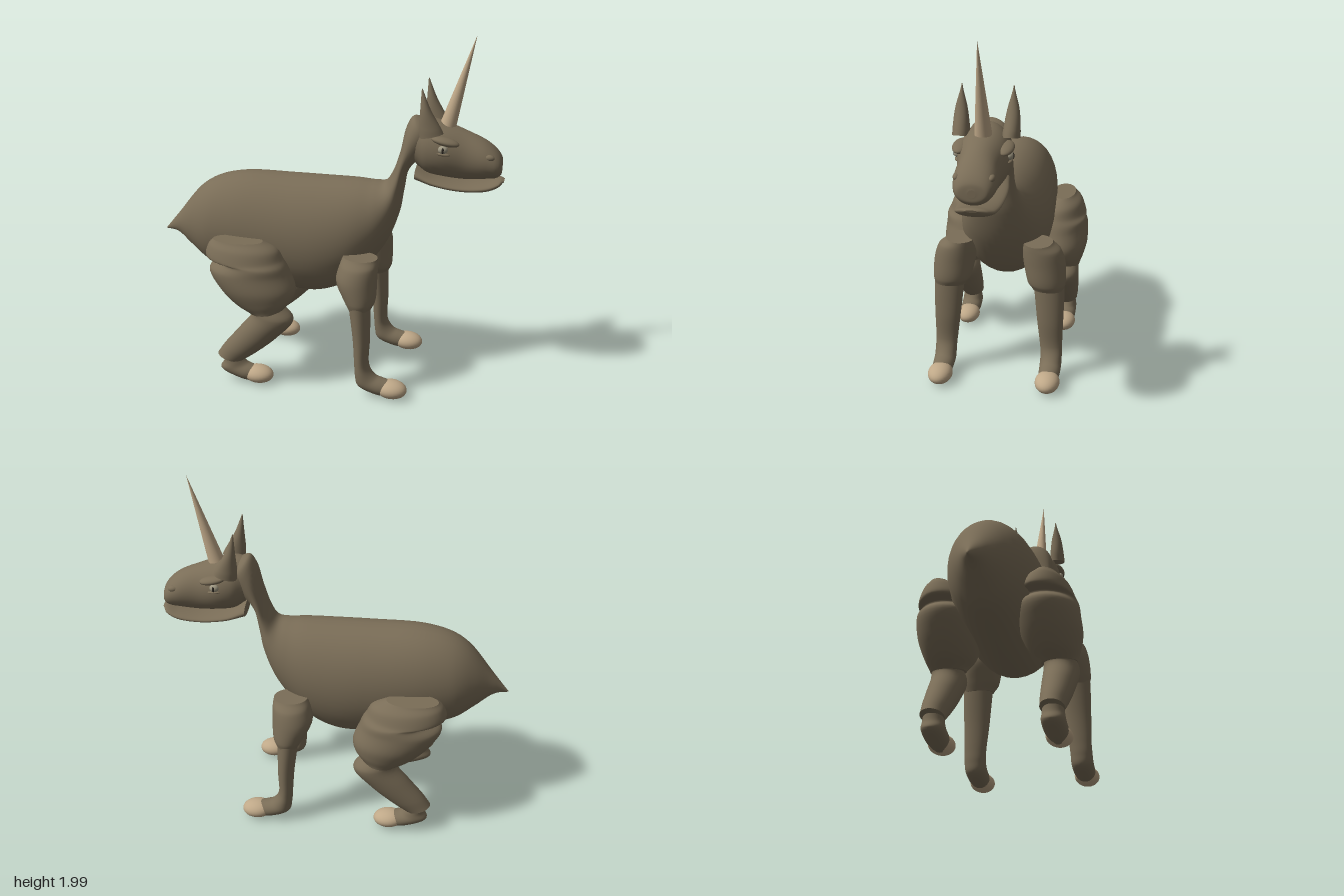
import * as THREE from 'three';

const mat = (name, color) => Object.assign(new THREE.MeshStandardMaterial({ color }), { name });

// Smooth skin through elliptical sections.
// Each row: [x1, y1, x2, y2, halfWidth, zCentre]; the two points are opposite ends of the section.
function loft(rows, steps = 6, sides = 32) {
  const curve = (f) => new THREE.CatmullRomCurve3(rows.map(f), false, 'centripetal');
  const ends = [curve(r => new THREE.Vector3(r[0], r[1], 0)), curve(r => new THREE.Vector3(r[2], r[3], 0))];
  const n = (rows.length - 1) * steps;
  const pos = [], idx = [];
  const ring = (t) => {
    const p = ends[0].getPoint(t), q = ends[1].getPoint(t);
    const s = t * (rows.length - 1), i = Math.min(Math.floor(s), rows.length - 2), f = s - i;
    // cubic blend of half width and depth
    const blend = (k) => {
      const g = (j) => rows[Math.max(0, Math.min(rows.length - 1, j))][k] || 0;
      const a = g(i - 1), b = g(i), c = g(i + 1), d = g(i + 2);
      return b + 0.5 * f * (c - a + f * (2 * a - 5 * b + 4 * c - d + f * (3 * (b - c) + d - a)));
    };
    const w = Math.max(0.001, blend(4)), z = blend(5);
    for (let k = 0; k < sides; k++) {
      const a = (k / sides) * Math.PI * 2, m = (1 + Math.cos(a)) / 2;
      pos.push(q.x + (p.x - q.x) * m, q.y + (p.y - q.y) * m, z + w * Math.sin(a));
    }
  };
  for (let i = 0; i <= n; i++) ring(i / n);
  for (let i = 0; i < n; i++) for (let k = 0; k < sides; k++) {
    const a = i * sides + k, b = i * sides + (k + 1) % sides;
    idx.push(a, b, a + sides, b, b + sides, a + sides);
  }
  // flat end caps with their own corners
  for (const end of [0, 1]) {
    const src = end * n * sides, base = pos.length / 3;
    const c = [0, 0, 0];
    for (let k = 0; k < sides; k++) for (let j = 0; j < 3; j++) {
      const v = pos[(src + k) * 3 + j];
      pos.push(v);
      c[j] += v / sides;
    }
    pos.push(...c);
    for (let k = 0; k < sides; k++) {
      const a = base + k, b = base + (k + 1) % sides;
      if (end) idx.push(a, b, base + sides); else idx.push(b, a, base + sides);
    }
  }
  // turn all faces outward
  const P = (i) => new THREE.Vector3().fromArray(pos, i * 3);
  let volume = 0;
  for (let i = 0; i < idx.length; i += 3) volume += P(idx[i]).dot(P(idx[i + 1]).cross(P(idx[i + 2])));
  if (volume < 0) idx.reverse();
  const g = new THREE.BufferGeometry();
  g.setAttribute('position', new THREE.Float32BufferAttribute(pos, 3));
  g.setIndex(idx);
  g.computeVertexNormals();
  return g;
}

export function createModel() {
  const hide = mat('hide', 0x7a6d57);
  const ivory = mat('ivory', 0xbfa888);
  const eyeGrey = mat('eyeGrey', 0x9c9580);
  const pupilDark = mat('pupilDark', 0x2c2721);
  const model = new THREE.Group();
  model.name = 'hornedCreature';

  const add = (name, geometry, material = hide) => {
    const mesh = new THREE.Mesh(geometry, material);
    mesh.name = name;
    model.add(mesh);
    return mesh;
  };
  const ball = (name, at, size, material, tilt = 0) => {
    const m = add(name, new THREE.SphereGeometry(1, 28, 18), material);
    m.position.set(...at);
    m.scale.set(...size);
    m.rotation.z = tilt;
    return m;
  };

  // Body, tail point and neck in one skin
  add('bodyAndNeck', loft([
    [-.97, .79, -.97, .785, .003],
    [-.88, .90, -.89, .775, .055],
    [-.74, 1.07, -.79, .70, .14],
    [-.64, 1.135, -.68, .62, .195],
    [-.48, 1.175, -.48, .56, .23],
    [-.2, 1.18, -.2, .505, .25],
    [0, 1.18, -.02, .505, .25],
    [.18, 1.18, .14, .58, .225],
    [.27, 1.175, .33, .80, .175],
    [.33, 1.18, .41, 1.0, .135],
    [.37, 1.24, .43, 1.12, .115],
    [.41, 1.36, .455, 1.25, .11],
    [.44, 1.50, .52, 1.33, .11],
    [.475, 1.555, .58, 1.40, .10],
    [.52, 1.545, .62, 1.47, .06],
  ]));

  // Head and lower jaw
  add('head', loft([
    [.48, 1.54, .50, 1.29, .10],
    [.56, 1.55, .56, 1.25, .13],
    [.65, 1.53, .64, 1.235, .135],
    [.76, 1.49, .76, 1.225, .112],
    [.86, 1.445, .87, 1.235, .108],
    [.92, 1.40, .93, 1.245, .095],
    [.95, 1.36, .953, 1.265, .07],
    [.956, 1.33, .956, 1.29, .02],
  ]));
  add('jaw', loft([
    [.50, 1.285, .50, 1.21, .105],
    [.60, 1.24, .60, 1.185, .115],
    [.75, 1.215, .75, 1.165, .11],
    [.88, 1.225, .88, 1.172, .10],
    [.95, 1.24, .94, 1.195, .075],
    [.972, 1.236, .968, 1.222, .03],
  ]));

  // Horn
  const base = new THREE.Vector3(.655, 1.5, 0), tip = new THREE.Vector3(.79, 2, 0);
  const axis = tip.clone().sub(base);
  const horn = add('horn', new THREE.ConeGeometry(.045, axis.length(), 28), ivory);
  horn.position.copy(base).add(tip).multiplyScalar(.5);
  horn.quaternion.setFromUnitVectors(new THREE.Vector3(0, 1, 0), axis.normalize());

  for (const [side, s] of [['left', 1], ['right', -1]]) {
    const part = (name, rows, zs) =>
      add(side + name, loft(rows.map((r, i) => [...r, s * (Array.isArray(zs) ? zs[i] : zs)])));

    // Face
    part('Ear', [
      [.525, 1.47, .65, 1.50, .045],
      [.52, 1.53, .635, 1.53, .042],
      [.525, 1.62, .58, 1.625, .03],
      [.53, 1.735, .534, 1.735, .002],
    ], [.125, .127, .13, .13]);
    ball(side + 'Brow', [.66, 1.453, s * .112], [.075, .022, .042], hide, -.2);
    ball(side + 'Eye', [.65, 1.413, s * .128], [.026, .022, .022], eyeGrey);
    ball(side + 'Pupil', [.652, 1.413, s * .1475], [.006, .016, .004], pupilDark);
    ball(side + 'LowerLid', [.65, 1.388, s * .122], [.04, .01, .022], hide, -.1);
    ball(side + 'Nostril', [.89, 1.372, s * .084], [.028, .017, .018], hide, -.1);

    // Front leg
    part('FrontUpperLeg', [
      [.14, .805, .33, .80, .08],
      [.125, .76, .335, .76, .105],
      [.11, .68, .335, .68, .115],
      [.155, .58, .33, .57, .105],
      [.185, .525, .315, .535, .085],
    ], [.215, .235, .25, .265, .275]);
    part('FrontShin', [
      [.185, .56, .305, .56, .085],
      [.20, .46, .307, .46, .08],
      [.215, .34, .308, .34, .072],
      [.225, .20, .305, .20, .062],
      [.23, .13, .32, .16, .06],
      [.245, .07, .35, .128, .06],
      [.345, .025, .38, .118, .058],
      [.42, .015, .42, .11, .05],
    ], [.28, .285, .29, .297, .30, .30, .30, .30]);
    ball(side + 'FrontToe', [.435, .06, s * .30], [.088, .052, .068], ivory, -.05);

    // Hind leg, with a skin fold behind the hip
    part('Thigh', [
      [-.585, .865, -.30, .865, .07],
      [-.615, .83, -.22, .82, .12],
      [-.63, .765, -.19, .765, .155],
      [-.55, .75, -.17, .73, .16],
      [-.61, .70, -.15, .68, .165],
      [-.56, .60, -.12, .60, .16],
      [-.46, .50, -.13, .545, .13],
      [-.37, .455, -.18, .48, .095],
    ], [.275, .265, .255, .26, .262, .27, .28, .295]);
    part('HindShin', [
      [-.37, .48, -.19, .50, .08],
      [-.36, .45, -.125, .425, .092],
      [-.44, .345, -.21, .315, .085],
      [-.53, .235, -.34, .20, .072],
      [-.57, .175, -.43, .135, .062],
    ], .30);
    part('HindFoot', [
      [-.53, .20, -.44, .18, .05],
      [-.535, .13, -.42, .14, .056],
      [-.555, .085, -.40, .12, .06],
      [-.44, .03, -.38, .112, .06],
      [-.36, .012, -.35, .105, .05],
    ], .30);
    ball(side + 'HindToe', [-.335, .06, s * .30], [.088, .05, .068], ivory, -.05);
  }
  return model;
}
